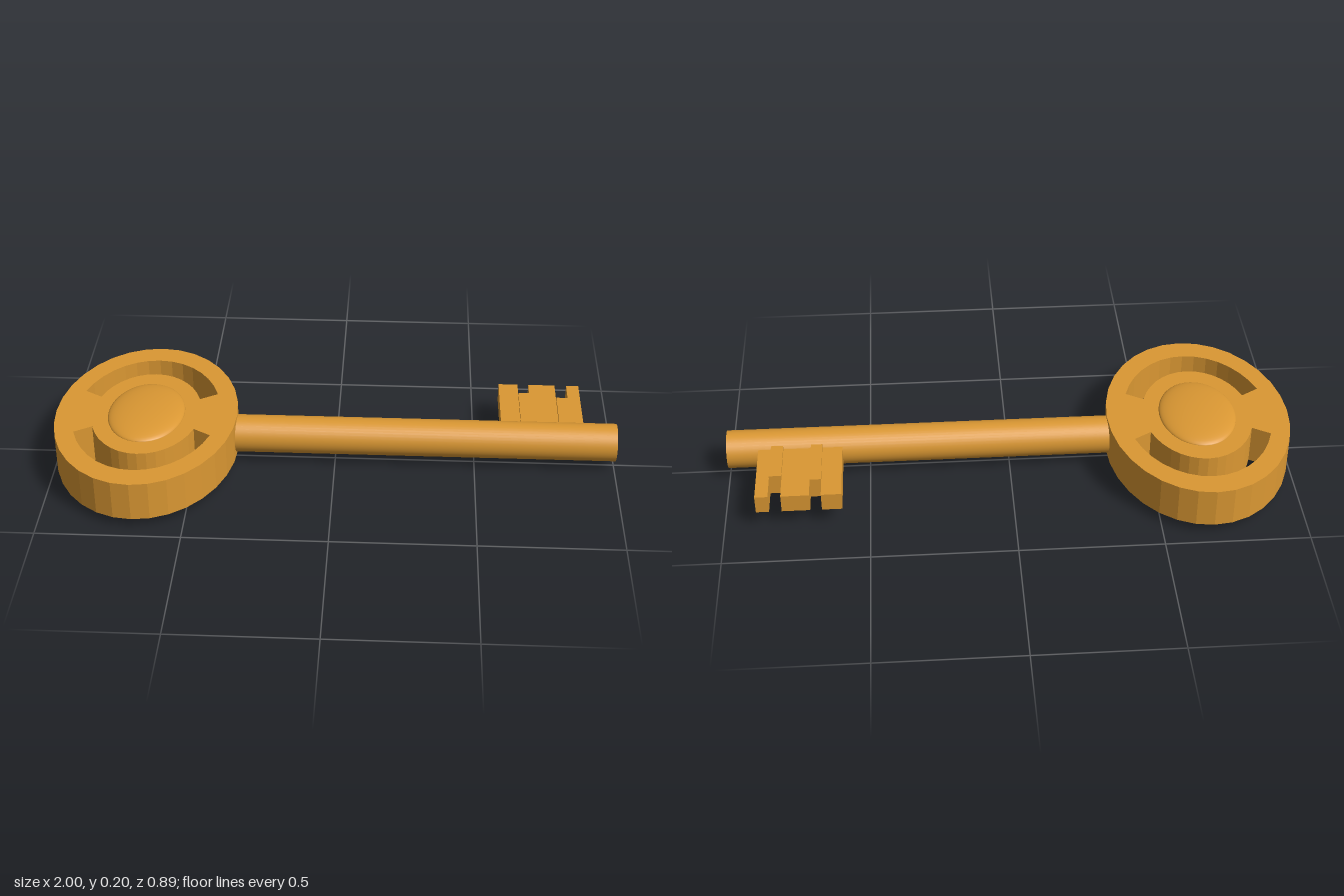
import * as THREE from 'three';

const BOW_X = -0.675;

// points along an elliptical arc, angles in degrees
function arc(rx, ry, from, to, steps) {
  return Array.from({ length: steps + 1 }, (_, i) => {
    const a = THREE.MathUtils.degToRad(from + ((to - from) * i) / steps);
    return new THREE.Vector2(rx * Math.cos(a), ry * Math.sin(a));
  });
}

export function createModel() {
  const key = new THREE.Group();
  key.name = 'key';
  const brass = new THREE.MeshStandardMaterial({ color: 0xdb9833 });
  brass.name = 'brass';

  const add = (name, geometry, x, y, z) => {
    const mesh = new THREE.Mesh(geometry, brass);
    mesh.name = name;
    mesh.position.set(x, y, z);
    key.add(mesh);
    return mesh;
  };
  const box = (name, x0, x1, y0, y1, z0, z1) =>
    add(name, new THREE.BoxGeometry(x1 - x0, y1 - y0, z1 - z0), (x0 + x1) / 2, (y0 + y1) / 2, (z0 + z1) / 2);

  // oval bow with two curved slots
  const oval = new THREE.Shape(arc(0.325, 0.447, 0, 360, 32).slice(0, -1));
  for (const start of [22, 202]) {
    const end = start + 136;
    oval.holes.push(new THREE.Path([
      ...arc(0.26, 0.36, start, end, 14),
      ...arc(0.194, 0.262, end, start, 14),
    ]));
  }
  const bow = new THREE.ExtrudeGeometry(oval, { depth: 0.143, bevelEnabled: false });
  bow.rotateX(-Math.PI / 2);
  add('bow', bow, BOW_X, 0.031, 0);

  // shallow domes on both faces of the bow
  const dome = new THREE.SphereGeometry(1, 40, 12, 0, Math.PI * 2, 0, Math.PI / 2);
  dome.scale(0.137, 0.028, 0.19);
  add('upperDome', dome, BOW_X, 0.173, 0);
  add('lowerDome', dome, BOW_X, 0.028, 0).rotation.x = Math.PI;
  key.getObjectByName('lowerDome').position.y = 0.028;

  // round shaft
  const shaft = new THREE.CylinderGeometry(0.067, 0.067, 1.36, 40);
  shaft.rotateZ(Math.PI / 2);
  add('shaft', shaft, 0.32, 0.098, 0);

  // bit: three teeth joined by webs, which carry raised ribs
  const Y0 = 0.067, Y1 = 0.132, RIB = 0.142, ROOT = -0.03, TIP = -0.32;
  for (const [x0, x1] of [[0.593, 0.663], [0.703, 0.8], [0.843, 0.888]]) {
    box('tooth', x0, x1, Y0, Y1, TIP, ROOT);
  }
  for (const [x0, x1, z] of [[0.663, 0.703, -0.247], [0.8, 0.843, -0.22]]) {
    box('ribbedWeb', x0, x1, Y0, RIB, z, ROOT);
  }
  return key;
}
